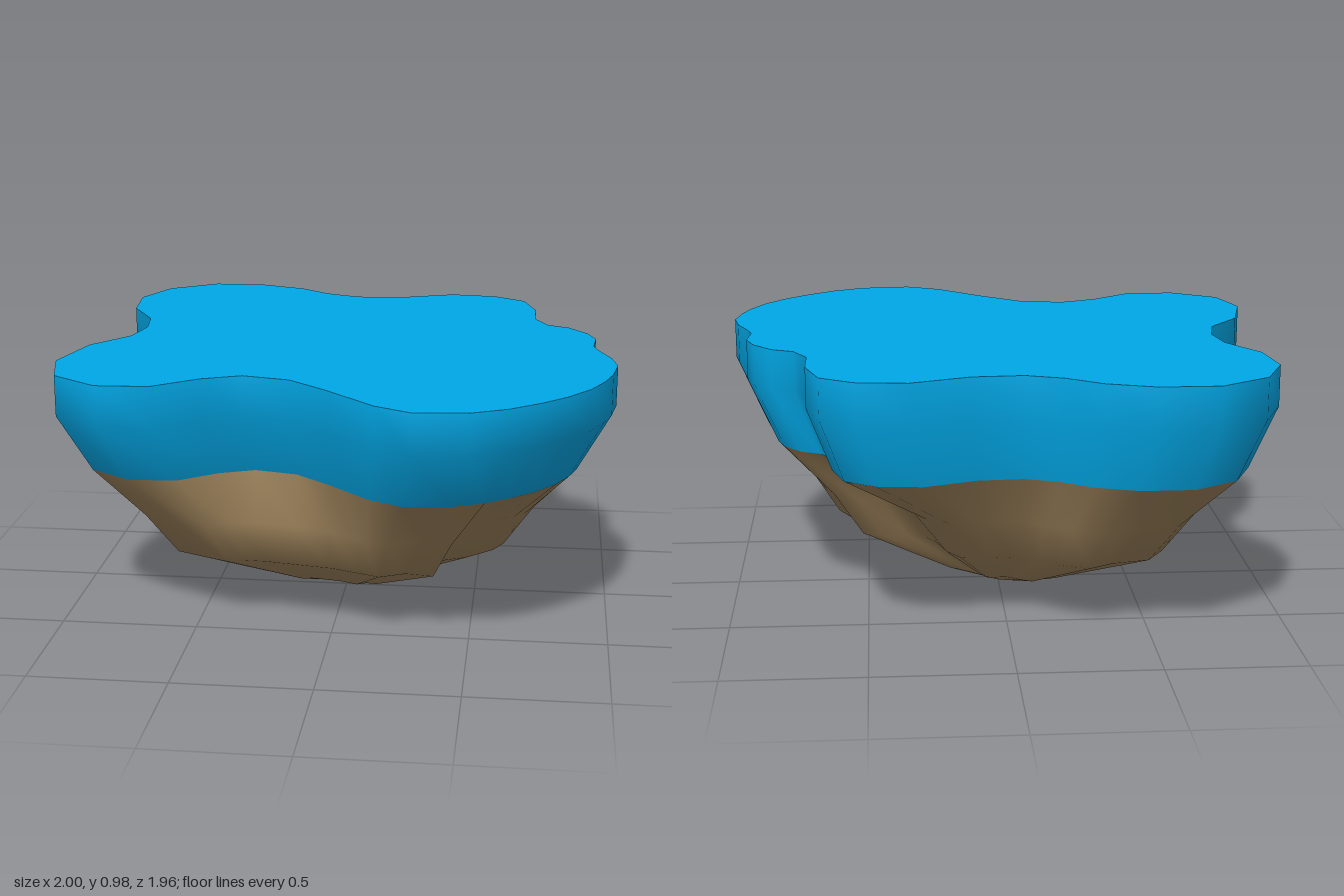
import * as THREE from 'three';

// Shoreline seen from above, as [x, z], starting at the back left
const OUTLINE = [
  [-0.67, -0.98], [-0.46, -0.98], [-0.29, -0.92], [-0.17, -0.83], [-0.04, -0.78], [0.14, -0.79],
  [0.35, -0.87], [0.53, -0.85], [0.65, -0.77], [0.70, -0.60], [0.70, -0.44], [0.75, -0.34],
  [0.83, -0.30], [0.90, -0.21], [0.93, -0.12], [0.92, 0.00], [0.94, 0.07], [0.98, 0.17],
  [1.00, 0.28], [0.98, 0.41], [0.95, 0.51], [0.90, 0.62], [0.82, 0.73], [0.73, 0.82],
  [0.63, 0.90], [0.51, 0.96], [0.32, 0.98], [0.19, 0.91], [0.01, 0.73], [-0.13, 0.61],
  [-0.30, 0.57], [-0.44, 0.63], [-0.59, 0.75], [-0.78, 0.76], [-0.95, 0.64], [-1.00, 0.43],
  [-0.94, 0.18], [-0.82, 0.02], [-0.79, -0.13], [-0.81, -0.28], [-0.91, -0.46], [-0.93, -0.67],
  [-0.85, -0.86],
];

// How far each spoke of the earth bulges out (+) or folds in (-)
const FOLDS = [
  -0.07, 0.02, 0, 0, -0.04, -0.04,
  -0.15, -0.28, -0.36, -0.35, -0.28, -0.18,
  -0.08, 0, -0.02, 0.02, -0.02, 0.02,
  0.06, 0.02, -0.03, -0.07, -0.13, -0.14,
  0.03, -0.06, 0, 0.02, 0.18, 0.36,
  0.38, 0.24, 0.09, 0, 0.04, -0.02,
  0, -0.02, 0.03, 0, -0.02, 0.03,
  0,
];

// Skin between scaled copies of the outline, top to bottom as [y, scaleX, scaleZ, shiftZ, fold]
function loft(rings) {
  const n = OUTLINE.length;
  const positions = [];
  const indices = [];
  rings.forEach(([y, sx, sz, dz, fold = 0], r) => {
    OUTLINE.forEach(([x, z], i) => {
      const bulge = 1 + FOLDS[i] * fold;
      positions.push(x * sx * bulge + dz / 4, y, z * sz * bulge + dz);
      if (r === rings.length - 1) return;
      const a = r * n + i;
      const b = r * n + (i + 1) % n;
      indices.push(a, b, a + n, b, b + n, a + n);
    });
  });
  const geometry = new THREE.BufferGeometry();
  geometry.setAttribute('position', new THREE.Float32BufferAttribute(positions, 3));
  geometry.setIndex(indices);
  geometry.computeVertexNormals();
  return geometry;
}

export function createModel() {
  const blue = new THREE.MeshStandardMaterial({ name: 'blue', color: 0x00aaea });
  const brown = new THREE.MeshStandardMaterial({ name: 'earth brown', color: 0x9f845c });
  const model = new THREE.Group();
  model.name = 'floatingIsland';

  const add = (name, geometry, material) => {
    const mesh = new THREE.Mesh(geometry, material);
    mesh.name = name;
    model.add(mesh);
    return mesh;
  };

  // Flat top of the upper layer
  const top = 0.977;
  const shape = new THREE.Shape(OUTLINE.map(([x, z]) => new THREE.Vector2(x, -z)));
  add('topSurface', new THREE.ShapeGeometry(shape).rotateX(-Math.PI / 2), blue).position.y = top;

  // Upright rim that tapers in below
  const foot = [0.597, 0.895, 0.86, -0.04];
  add('rim', loft([[top, 1, 1, 0], [0.83, 1, 1, 0], foot]), blue);

  // Folded earth narrowing to a point
  add('earth', loft([
    foot,
    [0.4, 0.7, 0.7, -0.04, 0.7],
    [0.24, 0.585, 0.595, -0.04, 1],
    [0.07, 0.22, 0.23, -0.04, 1],
    [0, 0.002, 0.002, -0.04],
  ]), brown);

  return model;
}
